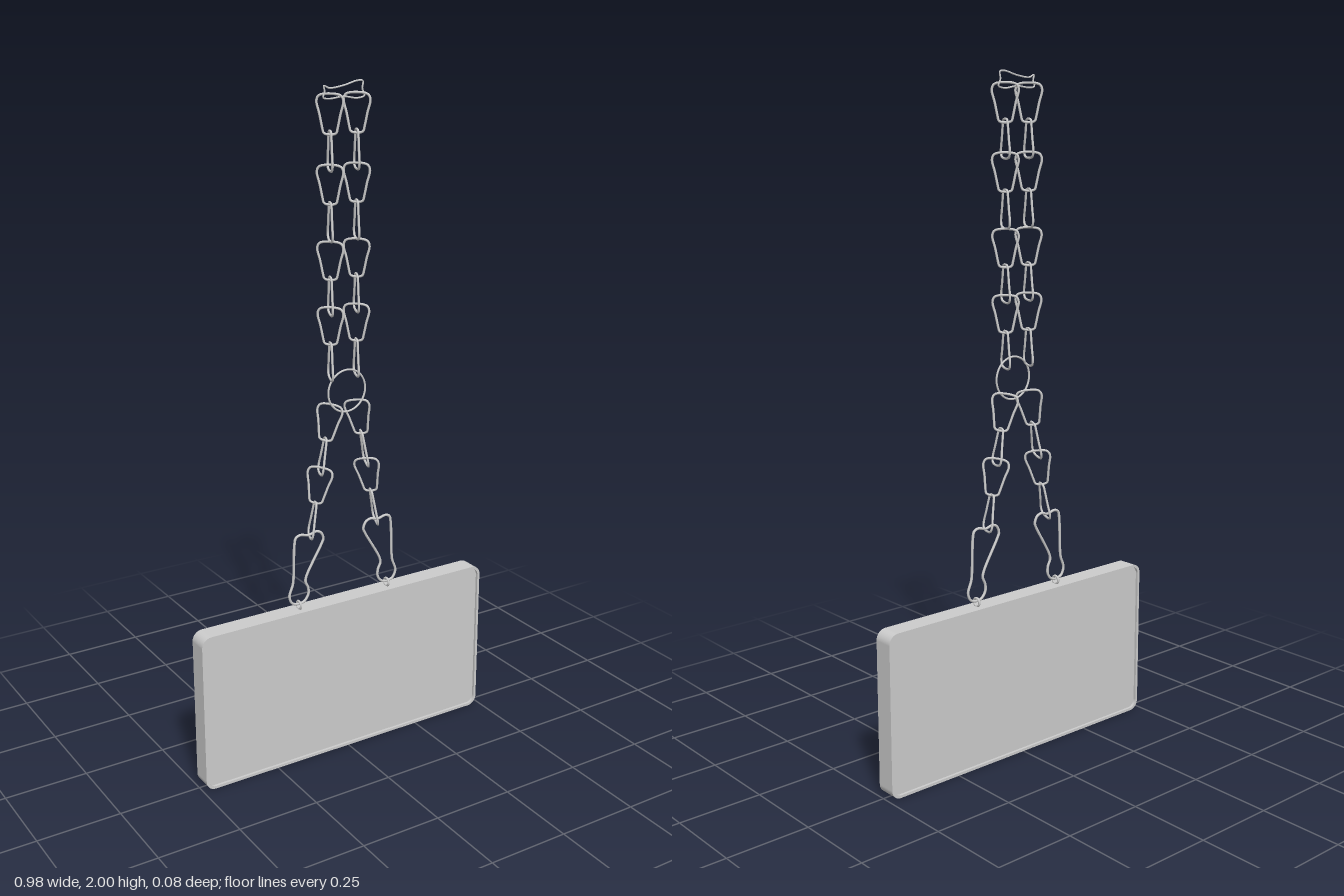
import * as THREE from 'three';

const material = new THREE.MeshStandardMaterial({ color: 0xcccccc, roughness: 0.5, side: THREE.DoubleSide });

function add(parent, name, geometry, x = 0, y = 0, z = 0) {
  const mesh = new THREE.Mesh(geometry, material);
  mesh.name = name;
  mesh.position.set(x, y, z);
  parent.add(mesh);
  return mesh;
}

// Closed loop of wire through flat [x, y] points
function wireLoop(points, radius, segments = 64) {
  const curve = new THREE.CatmullRomCurve3(points.map(([x, y]) => new THREE.Vector3(x, y, 0)), true, 'centripetal');
  return new THREE.TubeGeometry(curve, segments, radius, 8, true);
}

// Rounded rectangle outline centred on the origin
function roundedRect(w, h, r, Type = THREE.Shape) {
  const s = new Type();
  const x = w / 2 - r, y = h / 2 - r;
  s.absarc(x, y, r, 0, Math.PI / 2);
  s.absarc(-x, y, r, Math.PI / 2, Math.PI);
  s.absarc(-x, -y, r, Math.PI, Math.PI * 1.5);
  s.absarc(x, -y, r, Math.PI * 1.5, Math.PI * 2);
  s.closePath();
  return s;
}

function extrude(shape, depth) {
  return new THREE.ExtrudeGeometry(shape, { depth, bevelEnabled: false, curveSegments: 10 }).translate(0, 0, -depth / 2);
}

// Tapered link, wide at the top; mirrored side to side
const halfLink = [[0.02, 0.052], [0.032, 0.047], [0.037, 0.034], [0.029, 0], [0.021, -0.038], [0.018, -0.049], [0.011, -0.053]];
const linkPoints = [...halfLink, ...halfLink.map(([x, y]) => [-x, y]).reverse()];
const downLink = wireLoop(linkPoints, 0.0035);
const upLink = wireLoop(linkPoints.map(([x, y]) => [x, -y]), 0.0035);

// Links alternate: wide end up, then wide end down, turned about the chain
function addChain(parent, name, heights, xAt, tilt) {
  const chain = new THREE.Group();
  chain.name = name;
  heights.forEach((y, i) => {
    const odd = i % 2 === 1;
    const link = add(chain, 'chainLink', odd ? upLink : downLink, xAt(y), y);
    link.rotation.order = 'ZYX';
    link.rotation.y = odd ? 1.2 : -Math.PI / 4;
    link.rotation.z = tilt;
  });
  parent.add(chain);
}

export function createModel() {
  const model = new THREE.Group();
  model.name = 'hangingPendant';

  // Plate: thin raised rim around a recessed panel on both faces
  const plate = new THREE.Group();
  plate.name = 'plate';
  const rim = roundedRect(0.98, 0.49, 0.03);
  rim.holes.push(roundedRect(0.964, 0.474, 0.024, THREE.Path));
  add(plate, 'plateRim', extrude(rim, 0.06));
  add(plate, 'platePanel', extrude(roundedRect(0.966, 0.476, 0.025), 0.044));
  plate.position.y = 0.245;
  model.add(plate);

  // Clasp outline on the left side
  const clasp = [
    [0.168, 0.697], [0.163, 0.716], [0.148, 0.722], [0.12, 0.716], [0.095, 0.722], [0.078, 0.715], [0.07, 0.695],
    [0.076, 0.68], [0.128, 0.59], [0.132, 0.572], [0.123, 0.55], [0.123, 0.528], [0.138, 0.509], [0.158, 0.506],
    [0.177, 0.512], [0.187, 0.535], [0.175, 0.572], [0.172, 0.6],
  ];
  const slope = 0.185;
  for (const side of [1, -1]) {
    const label = side > 0 ? 'left' : 'right';
    // Eyelet on the plate
    add(model, label + 'Eyelet', new THREE.TorusGeometry(0.012, 0.0035, 8, 24), side * 0.155, 0.502).rotation.y = Math.PI / 2;
    add(model, label + 'Clasp', wireLoop(clasp.map(([x, y]) => [side * x, y]), 0.004, 120));
    // Spread lower chain and straight upper chain
    addChain(model, label + 'LowerChain', [1.049, 0.95, 0.864, 0.76], y => side * (0.052 + (1.049 - y) * slope), side * slope);
    addChain(model, label + 'UpperChain', [1.913, 1.815, 1.725, 1.623, 1.516, 1.416, 1.331, 1.228], () => side * 0.043, 0);
  }

  // Ring joining the upper and lower chains
  add(model, 'joiningRing', new THREE.TorusGeometry(0.062, 0.003, 8, 48), 0, 1.14, 0.018);

  // Dog-bone connector at the top
  const connector = [
    [-0.062, 1.988], [-0.045, 1.981], [0, 1.986], [0.045, 1.997], [0.062, 1.995], [0.06, 1.975],
    [0.067, 1.957], [0.045, 1.951], [0, 1.957], [-0.045, 1.953], [-0.064, 1.957], [-0.059, 1.972],
  ];
  add(model, 'topConnector', wireLoop(connector, 0.0025, 80));

  return model;
}
